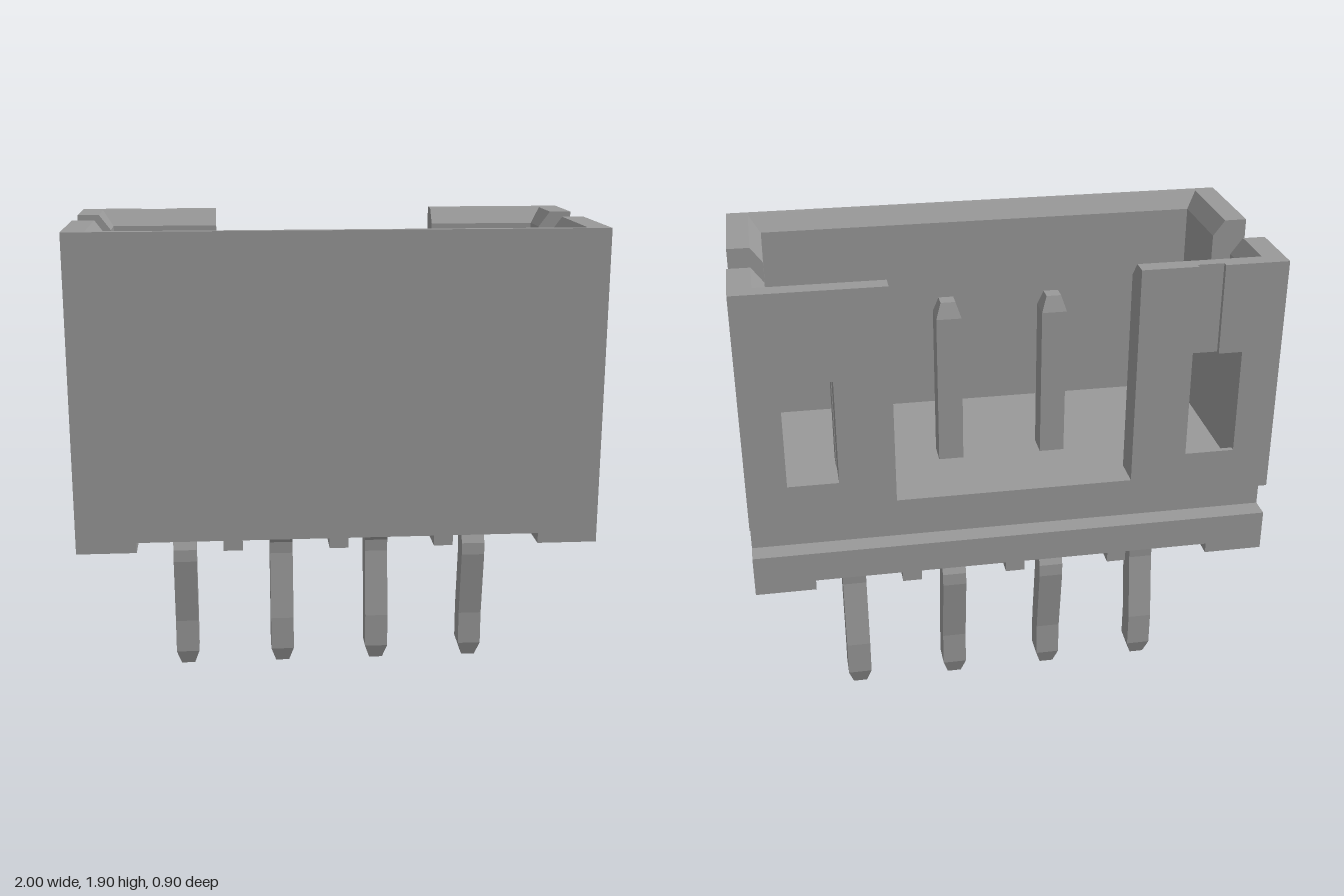
import * as THREE from 'three';

// Key heights
const SEAT = 0.73, FLOOR = 1.05, LIP = 1.84, TOP = 1.9;
const BACK = -0.45, FRONT = 0.45;

const polygon = (pts) => new THREE.Shape(pts.map(([a, b]) => new THREE.Vector2(a, b)));

// Extrude an (x, y) shape from z0 to z1
function alongZ(shape, z0, z1) {
  return new THREE.ExtrudeGeometry(shape, { depth: z1 - z0, bevelEnabled: false, curveSegments: 24 })
    .translate(0, 0, z0);
}

// Extrude a (-z, y) shape from x0 to x1
function alongX(shape, x0, x1) {
  return new THREE.ExtrudeGeometry(shape, { depth: x1 - x0, bevelEnabled: false, curveSegments: 24 })
    .rotateY(Math.PI / 2).translate(x0, 0, 0);
}

const profileZY = (pts) => polygon(pts.map(([z, y]) => [-z, y]));

function box(x0, x1, y0, y1, z0, z1) {
  return new THREE.BoxGeometry(x1 - x0, y1 - y0, z1 - z0)
    .translate((x0 + x1) / 2, (y0 + y1) / 2, (z0 + z1) / 2);
}

// Lip section: flat outside, chamfered towards the cavity
const lip = (outer, inner, innerTop) => [[outer, LIP], [inner, LIP], [innerTop, TOP], [outer, TOP]];

// Square pin with tapered ends and a kink of the given offset
function pinGeometry(kink) {
  const levels = [ // y, half width, z offset
    [0, 0.028, 0], [0.06, 0.048, 0], [0.2, 0.048, 0], [0.48, 0.048, kink],
    [0.53, 0.048, kink * 0.93], [0.6, 0.048, 0], [1.64, 0.048, 0], [1.7, 0.028, 0],
  ];
  const n = levels.length - 1;
  const geo = new THREE.BoxGeometry(2, n, 2, 1, n, 1);
  const p = geo.attributes.position;
  for (let i = 0; i < p.count; i++) {
    const [y, half, dz] = levels[Math.round(p.getY(i) + n / 2)];
    p.setXYZ(i, p.getX(i) * half, y, p.getZ(i) * half + dz);
  }
  const flat = geo.toNonIndexed();
  flat.computeVertexNormals();
  return flat;
}

export function createModel() {
  const model = new THREE.Group();
  model.name = 'pinHeader';
  const grey = new THREE.MeshStandardMaterial({ color: 0x999999 });
  grey.name = 'grey';
  const add = (name, geo) => {
    const mesh = new THREE.Mesh(geo, grey);
    mesh.name = name;
    model.add(mesh);
    return mesh;
  };

  // Base block with a groove along the back
  add('base', alongX(profileZY([
    [FRONT, SEAT], [BACK, SEAT], [BACK, 0.85], [-0.37, 0.85],
    [-0.37, 0.975], [BACK, 0.975], [BACK, FLOOR], [FRONT, FLOOR],
  ]), -1, 1));

  // Feet between the bottom channels
  for (const [x0, x1] of [[-1, -0.772], [-0.443, -0.37], [-0.038, 0.035], [0.365, 0.438], [0.77, 1]]) {
    add('foot', box(x0, x1, 0.69, SEAT, BACK, FRONT));
  }

  // Front wall
  add('frontWall', box(-1, 1, FLOOR, LIP, 0.37, FRONT));
  add('frontLip', alongX(profileZY(lip(FRONT, 0.37, 0.42)), -1, 1));

  // Side walls with a round-bottomed slot
  const slotZ = -0.077, r = 0.105;
  const sideShape = new THREE.Shape();
  sideShape.moveTo(-FRONT, FLOOR);
  sideShape.lineTo(-BACK, FLOOR);
  sideShape.lineTo(-BACK, LIP);
  sideShape.lineTo(-slotZ + r, LIP);
  sideShape.lineTo(-slotZ + r, 1.6);
  sideShape.absarc(-slotZ, 1.6, r, 0, Math.PI, true);
  sideShape.lineTo(-slotZ - r, LIP);
  sideShape.lineTo(-FRONT, LIP);

  for (const s of [-1, 1]) {
    add('sideWall', alongX(sideShape, s > 0 ? 0.87 : -1, s > 0 ? 1 : -0.87));
    const sideLip = polygon(lip(s, s * 0.87, s * 0.915));
    add('sideLip', alongZ(sideLip, BACK, slotZ - r));
    add('sideLip', alongZ(sideLip, slotZ + r, FRONT));

    // Back panel, inner layer with a window
    const win = [[s * 0.66, 1.145], [s * 0.85, 1.145], [s * 0.85, 1.555], [s * 0.66, 1.555]];
    const inner = polygon([[s * 0.45, FLOOR], [s, FLOOR], [s, LIP], [s * 0.45, LIP]]);
    inner.holes.push(polygon(win));
    add('backPanel', alongZ(inner, -0.43, -0.33));
    add('backLip', alongX(profileZY(lip(-0.43, -0.33, -0.385)),
      s > 0 ? 0.45 : -1, s > 0 ? 1 : -0.45));

    // Outer layer; on one side a shallow groove runs from the window to the top
    let outer;
    if (s > 0) {
      outer = polygon([[0.45, FLOOR], [1, FLOOR], [1, TOP], [0.45, TOP]]);
      outer.holes.push(polygon(win));
    } else {
      outer = polygon([
        [-0.45, FLOOR], [-1, FLOOR], [-1, TOP], [-0.76, TOP], [-0.76, 1.555], [-0.85, 1.555],
        [-0.85, 1.145], [-0.66, 1.145], [-0.66, TOP], [-0.45, TOP],
      ]);
    }
    add('backPanelFace', alongZ(outer, BACK, -0.43));
  }

  // Pins: the outer pair kinks forward, the inner pair backward
  for (const [x, kink] of [[-0.607, 0.04], [-0.202, -0.04], [0.202, -0.04], [0.607, 0.04]]) {
    add('pin', pinGeometry(kink)).position.set(x, 0, -0.108);
  }

  return model;
}
